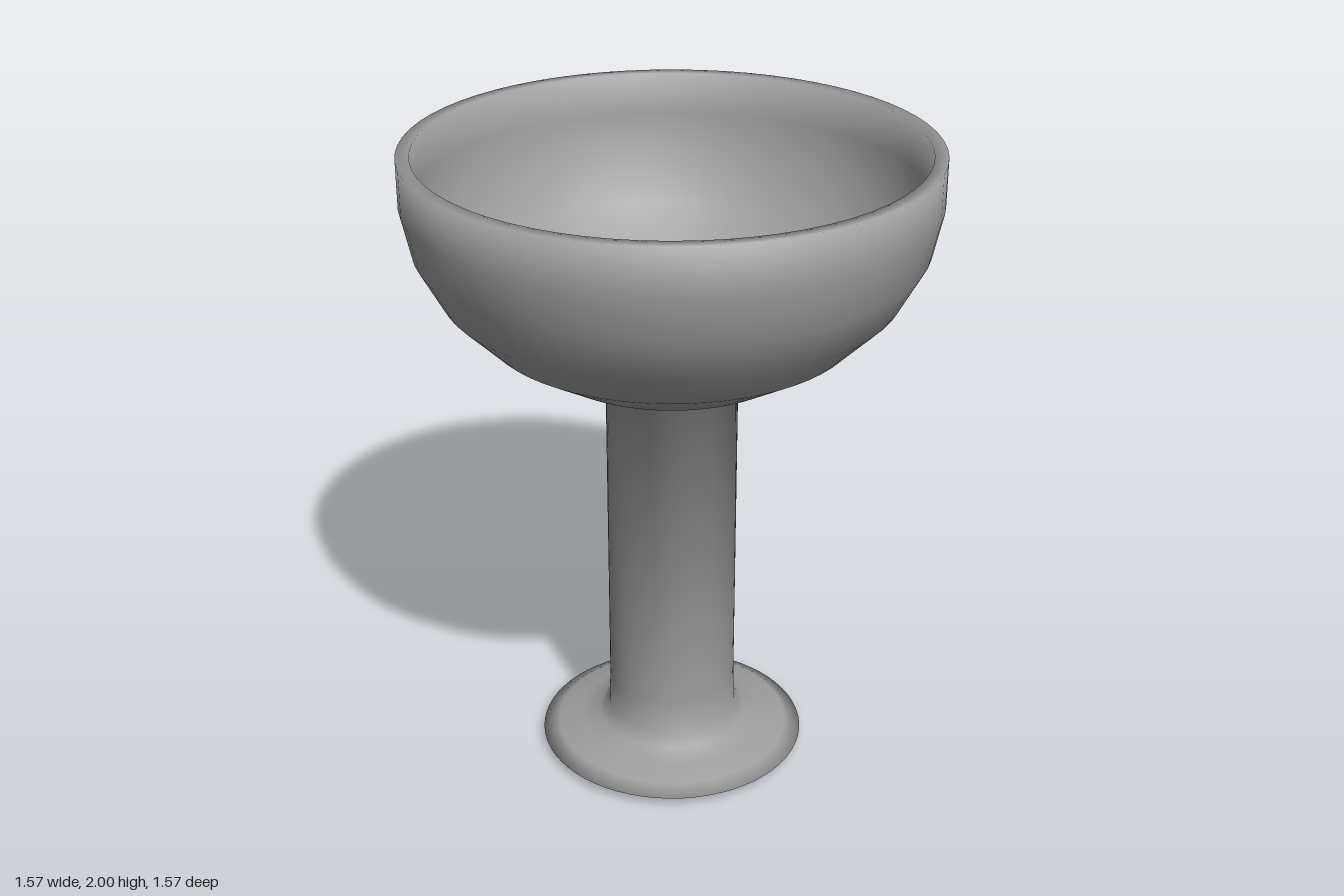
import * as THREE from 'three';

const SEGMENTS = 64;

// Surface of revolution, shaded smoothly: each ring's normal is the plain
// average of the slopes above and below it, and points along y on the axis
function turned(name, profile) {
  const points = profile.map(([r, y]) => new THREE.Vector2(r, y));
  const slopes = points.slice(1).map((p, i) => {
    const d = p.clone().sub(points[i]).normalize();
    return new THREE.Vector2(d.y, -d.x);
  });
  const ringNormals = points.map((p, i) => {
    const n = new THREE.Vector2();
    if (i > 0) n.add(slopes[i - 1]);
    if (i < slopes.length) n.add(slopes[i]);
    if (p.x === 0) n.x = 0;
    return n.normalize();
  });

  const geometry = new THREE.LatheGeometry(points, SEGMENTS);
  const normals = geometry.attributes.normal;
  for (let k = 0; k < normals.count; k++) {
    const n = ringNormals[k % points.length];
    const angle = (Math.floor(k / points.length) / SEGMENTS) * Math.PI * 2;
    normals.setXYZ(k, n.x * Math.sin(angle), n.y, n.x * Math.cos(angle));
  }

  const mesh = new THREE.Mesh(
    geometry,
    new THREE.MeshStandardMaterial({ color: 0x9e9e9e })
  );
  mesh.name = name;
  return mesh;
}

export function createModel() {
  const goblet = new THREE.Group();
  goblet.name = 'goblet';

  goblet.add(
    // Almost flat underside of the foot
    turned('footUnderside', [[0, 0], [0.25, 0.005], [0.37, 0.013]]),

    // Lip and flare of the foot, stem, bowl, rim and inside in one sweep
    turned('gobletBody', [
      // foot
      [0.37, 0.013], [0.42, 0.03], [0.37, 0.053], [0.3, 0.071], [0.235, 0.09],
      // stem
      [0.203, 0.13], [0.2, 0.24], [0.2, 1.27],
      // outside of the bowl
      [0.387, 1.355], [0.552, 1.455], [0.677, 1.58], [0.753, 1.72],
      [0.783, 1.86], [0.783, 2],
      // rim and inside of the bowl, with a shallow dip in the middle
      [0.743, 2], [0.743, 1.87], [0.713, 1.735], [0.642, 1.605],
      [0.525, 1.49], [0.37, 1.395], [0.18, 1.31], [0.1, 1.25], [0, 1.24],
    ])
  );
  return goblet;
}
